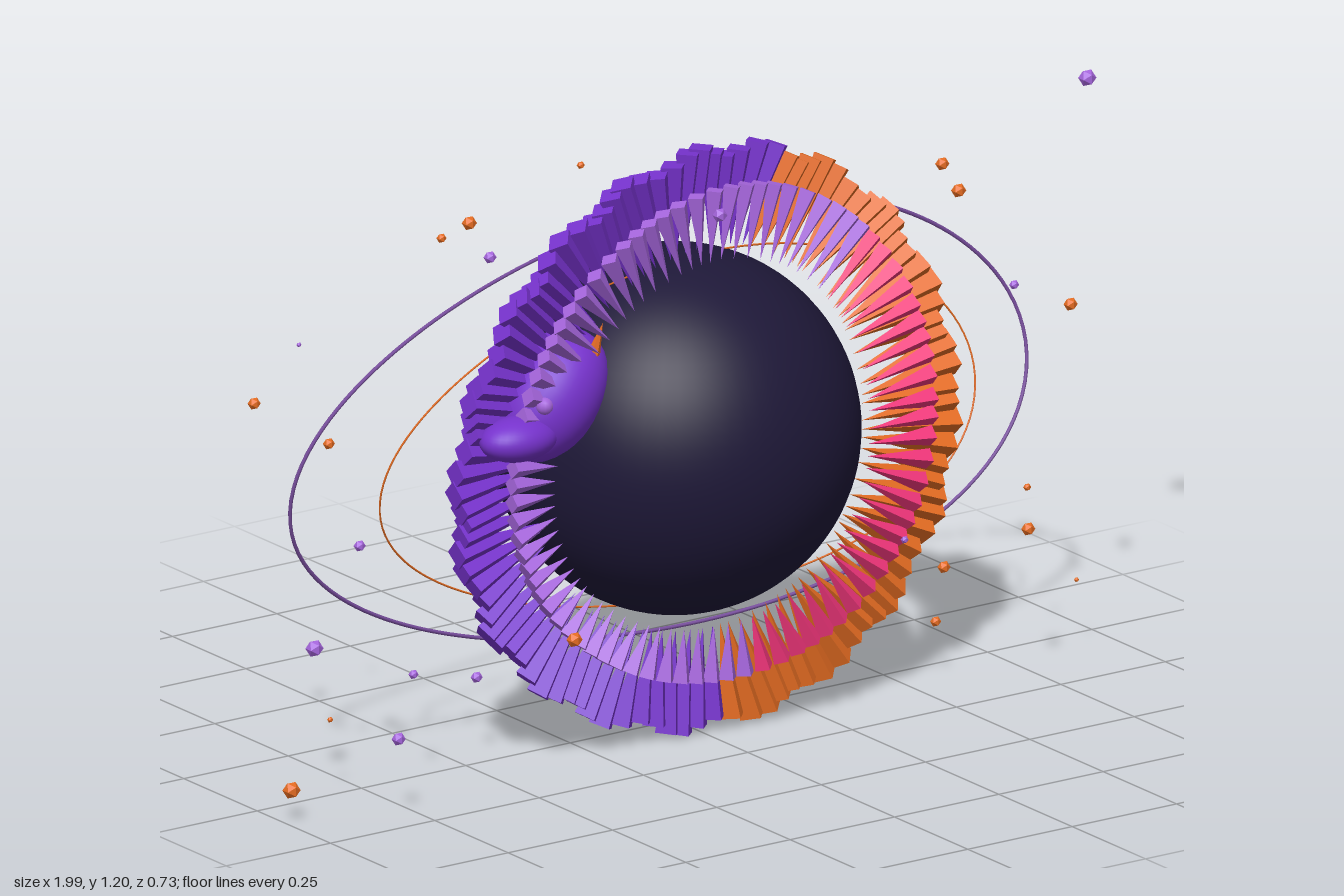
import * as THREE from 'three';

const CY = 0.62;
const VIOLET = 0x7632cc, LILAC = 0xa565dc, ORANGE = 0xe56c22, PINK = 0xf0357a, NIGHT = 0x1e1838;

function material(color, flatShading = false) {
  const m = new THREE.MeshStandardMaterial({ flatShading });
  m.color.set(color);
  return m;
}

function add(parent, name, geometry, mat, x = 0, y = 0, z = 0) {
  const mesh = new THREE.Mesh(geometry, mat);
  mesh.name = name;
  mesh.position.set(x, y, z);
  parent.add(mesh);
  return mesh;
}

// Ring of four-sided spikes pointing at the core, weaving gently in z
function spikeRing(o) {
  const ring = new THREE.Group();
  ring.name = o.name;
  const main = material(o.color, true), accent = material(o.accent, true);
  const geo = new THREE.ConeGeometry(o.width, 1, 4);
  for (let i = 0; i < o.count; i++) {
    const a = (i / o.count) * Math.PI * 2;
    const deg = THREE.MathUtils.radToDeg(a > Math.PI ? a - 2 * Math.PI : a);
    const outer = o.outer(a, i);
    const length = outer - o.tip;
    const r = outer - length / 2;
    const mat = deg > o.from && deg < o.to ? accent : main;
    const spike = add(ring, o.name + 'Spike', geo, mat,
      r * Math.cos(a), CY + r * Math.sin(a), o.z - 0.022 * Math.sin(2 * a));
    spike.rotation.z = a + Math.PI / 2 + 0.1 * Math.sin(i * 0.9);
    spike.scale.y = length;
  }
  return ring;
}

// Saddle-shaped closed orbit line
function orbit(parent, name, rx, ry, z, amp, thickness, color) {
  const pts = [];
  for (let i = 0; i < 64; i++) {
    const t = (i / 64) * Math.PI * 2;
    pts.push(new THREE.Vector3(rx * Math.cos(t), CY + ry * Math.sin(t), z - amp * Math.sin(2 * t)));
  }
  const curve = new THREE.CatmullRomCurve3(pts, true);
  add(parent, name, new THREE.TubeGeometry(curve, 160, thickness, 6, true), material(color));
}

// Scattered shards: x, y, z, radius
const ORANGE_SHARDS = [
  [-0.59, 1.19, 0.14, 0.015], [-0.46, 1.06, -0.14, 0.01], [-0.2, 1.19, -0.035, 0.008],
  [0.65, 1.04, -0.012, 0.014], [0.685, 0.98, -0.006, 0.015], [-0.965, 0.835, -0.06, 0.013],
  [-0.93, 0.8, 0.145, 0.012], [-0.985, 0.083, 0.096, 0.018], [-0.825, 0.173, 0, 0.006],
  [-0.366, 0.3, 0.18, 0.016], [0.963, 0.69, -0.02, 0.014], [0.744, 0.157, -0.14, 0.013],
  [0.58, 0.13, 0.065, 0.011], [0.707, 0.333, 0.2, 0.014], [0.81, 0.36, 0.05, 0.008],
  [0.9, 0.163, 0.09, 0.005],
];
const LILAC_SHARDS = [
  [-0.565, 1.124, 0.175, 0.013], [0.975, 1.165, 0.02, 0.018], [-0.847, 0.93, -0.075, 0.005],
  [-0.845, 0.317, -0.025, 0.018], [-0.805, 0.184, 0.205, 0.014], [-0.793, 0.54, 0.055, 0.012],
  [-0.65, 0.243, 0.035, 0.01], [-0.46, 0.187, -0.02, 0.012], [0.74, 0.805, 0.105, 0.01],
  [0.404, 0.37, 0.21, 0.008], [0, 1.1, 0.155, 0.015], [0.45, 0.945, 0.02, 0.013],
];

export function createModel() {
  const model = new THREE.Group();
  model.name = 'ringedOrb';

  add(model, 'core', new THREE.SphereGeometry(0.367, 64, 48), material(NIGHT), 0, CY, 0);

  model.add(spikeRing({
    name: 'outerRing', count: 100, width: 0.03, tip: 0.39, z: 0.083,
    outer: (a, i) => 0.59 + 0.012 * Math.cos(a) + 0.012 * Math.sin(i * 1.3),
    color: VIOLET, accent: ORANGE, from: -85, to: 72,
  }));
  model.add(spikeRing({
    name: 'innerRing', count: 80, width: 0.021, tip: 0.375, z: 0.13,
    outer: (a) => 0.505 + 0.03 * Math.cos(a - 0.7),
    color: LILAC, accent: PINK, from: -80, to: 42,
  }));

  orbit(model, 'outerOrbit', 0.88, 0.43, -0.055, 0.05, 0.004, 0x7a4fa0);
  orbit(model, 'innerOrbit', 0.71, 0.35, 0.01, 0.05, 0.002, ORANGE);

  // Creature head resting against the core
  const head = new THREE.Group();
  head.name = 'head';
  const ball = new THREE.SphereGeometry(1, 32, 24);
  const skull = add(head, 'skull', ball, material(VIOLET), -0.355, 0.775, 0.08);
  skull.scale.set(0.145, 0.1, 0.105);
  skull.rotation.z = 0.85;
  const snout = add(head, 'snout', ball, material(VIOLET), -0.465, 0.72, 0.13);
  snout.scale.set(0.085, 0.045, 0.06);
  for (const side of [-1, 1]) {
    const z = 0.08 + side * 0.075;
    add(head, 'eye', new THREE.SphereGeometry(0.018, 12, 10), material(side > 0 ? LILAC : ORANGE),
      -0.42, 0.785, z);
    const horn = add(head, 'horn', new THREE.ConeGeometry(0.018, 0.09, 6), material(ORANGE, true),
      -0.285, 0.885, 0.08 + side * 0.06);
    horn.rotation.set(side * 0.2, 0, -0.2);
  }
  model.add(head);

  // Floating shards
  const shardGeo = new THREE.IcosahedronGeometry(1, 0);
  for (const [list, color] of [[ORANGE_SHARDS, ORANGE], [LILAC_SHARDS, LILAC]]) {
    const mat = material(color, true);
    for (const [x, y, z, r] of list) add(model, 'shard', shardGeo, mat, x, y, z).scale.setScalar(r);
  }
  return model;
}
